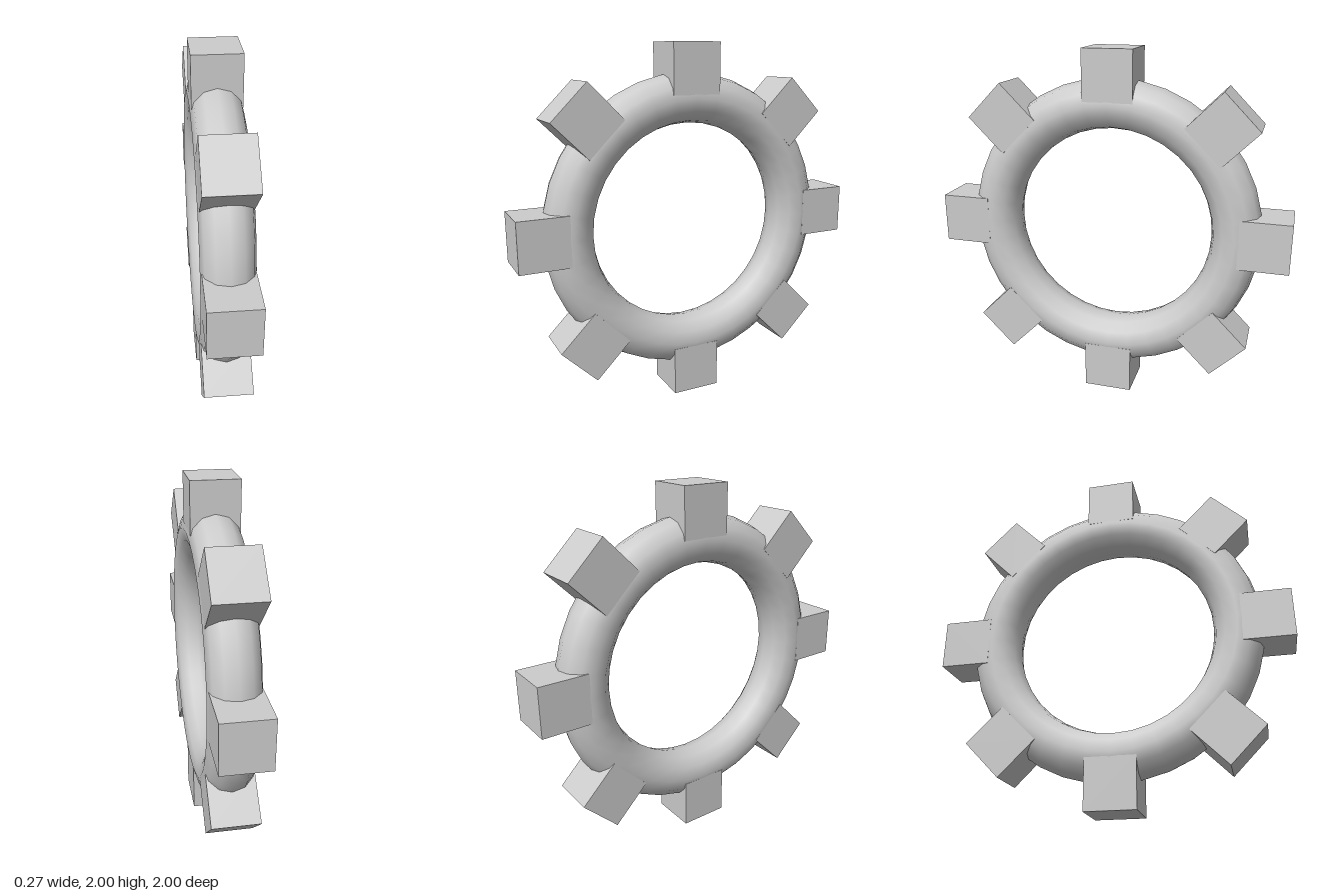
import * as THREE from 'three';

const RING_RADIUS = 0.704;
const TUBE_RADIUS = 0.137;
const TOOTH_COUNT = 8;
const TOOTH = { width: 0.262, depth: 0.277, height: 0.277 };

export function createModel() {
  const model = new THREE.Group();
  model.name = 'toothedRing';
  const material = new THREE.MeshStandardMaterial({ color: 0xcccccc });

  // Everything turns about the x axis at the wheel centre
  const wheel = new THREE.Group();
  wheel.name = 'wheel';
  wheel.position.y = 1;
  model.add(wheel);

  // Round ring standing in the y-z plane
  const ringGeometry = new THREE.TorusGeometry(RING_RADIUS, TUBE_RADIUS, 12, 36);
  ringGeometry.rotateY(Math.PI / 2);
  const ring = new THREE.Mesh(ringGeometry, material);
  ring.name = 'ring';
  wheel.add(ring);

  // Square teeth, evenly spaced, with outer faces at radius 1
  const toothGeometry = new THREE.BoxGeometry(TOOTH.width, TOOTH.height, TOOTH.depth);
  toothGeometry.translate(0, 1 - TOOTH.height / 2, 0);
  for (let i = 0; i < TOOTH_COUNT; i++) {
    const tooth = new THREE.Mesh(toothGeometry, material);
    tooth.name = `tooth${i + 1}`;
    tooth.rotation.x = (i / TOOTH_COUNT) * Math.PI * 2;
    wheel.add(tooth);
  }

  return model;
}
